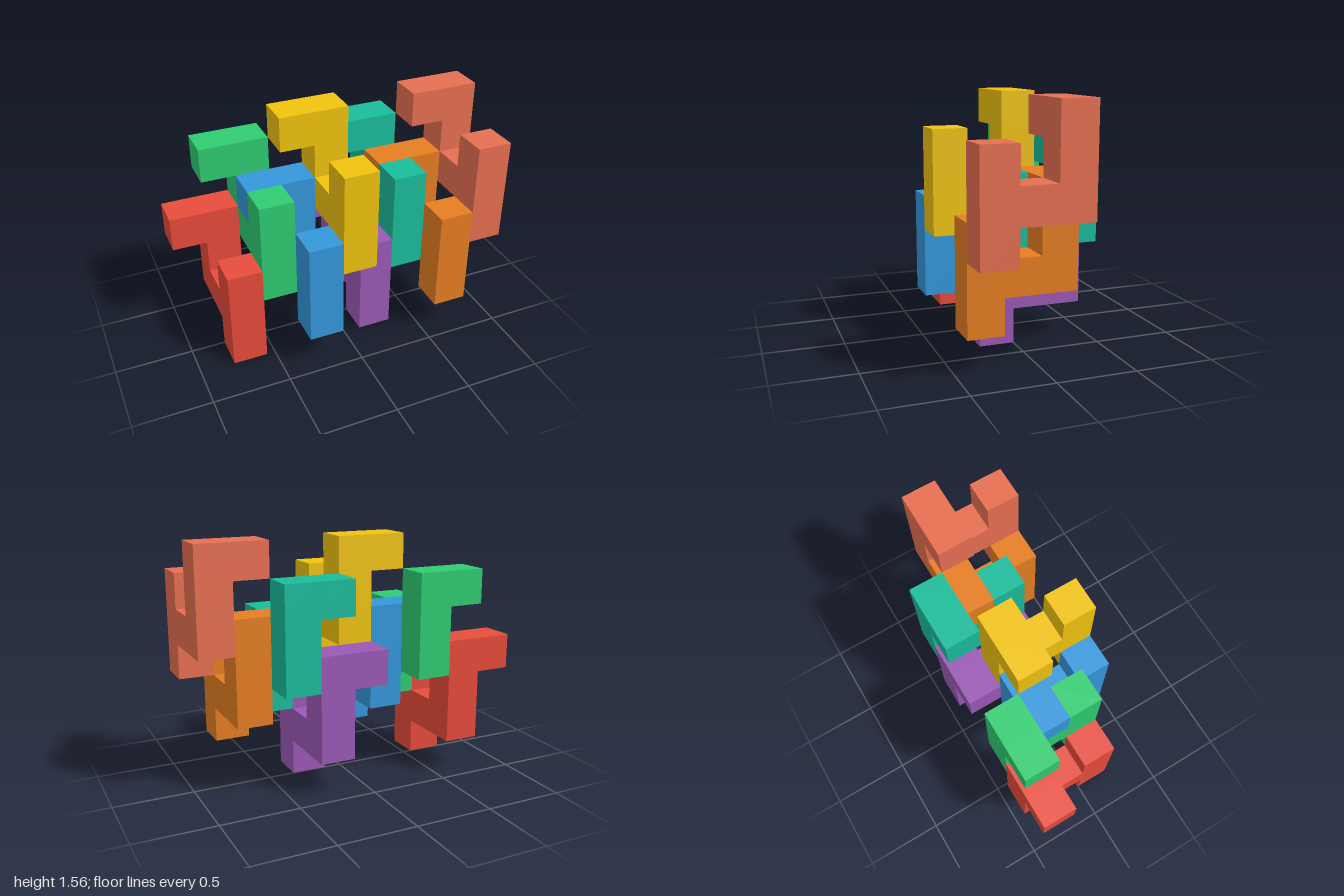
import * as THREE from 'three';
import { mergeGeometries } from 'three/addons/utils/BufferGeometryUtils.js';

const U = 2 / 9; // edge of one cube cell

// Cells of the shared piece: front post, bridge, back post, side hook
const CELLS = [
  [0, 0, 2], [0, 1, 2], [0, 2, 2],
  [0, 1, 1],
  [0, 1, 0], [0, 2, 0], [0, 3, 0],
  [-1, 3, 0],
];

// Outward directions with the rotation that turns a +z plane to face them
const H = Math.PI / 2;
const SIDES = [
  [1, 0, 0, 0, H], [-1, 0, 0, 0, -H],
  [0, 1, 0, -H, 0], [0, -1, 0, H, 0],
  [0, 0, 1, 0, 0], [0, 0, -1, 0, 2 * H],
];

// One closed skin: a square wherever a cell has no neighbour
function pieceGeometry() {
  const filled = new Set(CELLS.map(String));
  const squares = [];
  for (const [x, y, z] of CELLS) {
    for (const [dx, dy, dz, rx, ry] of SIDES) {
      if (filled.has(String([x + dx, y + dy, z + dz]))) continue;
      squares.push(new THREE.PlaneGeometry(U, U)
        .rotateX(rx).rotateY(ry)
        .translate((x + 0.5 + dx / 2) * U, (y + 0.5 + dy / 2) * U, (z + 0.5 + dz / 2) * U));
    }
  }
  return mergeGeometries(squares);
}

// Name, colour and grid position (x, y, z cell) of each interlocking piece
const PIECES = [
  ['redPiece', 0xe74c3c, 1, 0, 0],
  ['greenPiece', 0x2ecc71, 2, 2, 0],
  ['bluePiece', 0x3498db, 3, 1, 1],
  ['yellowPiece', 0xf1c40f, 4, 3, 1],
  ['purplePiece', 0x9b59b6, 5, 0, 0],
  ['tealPiece', 0x1abc9c, 6, 2, 0],
  ['orangePiece', 0xe67e22, 7, 1, 1],
  ['salmonPiece', 0xe76f51, 8, 3, 1],
];

export function createModel() {
  const model = new THREE.Group();
  model.name = 'interlockingPieces';
  const geometry = pieceGeometry();
  for (const [name, color, x, y, z] of PIECES) {
    const piece = new THREE.Mesh(geometry, new THREE.MeshStandardMaterial({ color }));
    piece.name = name;
    piece.position.set(x * U - 1, y * U, (z - 2) * U);
    model.add(piece);
  }
  return model;
}
